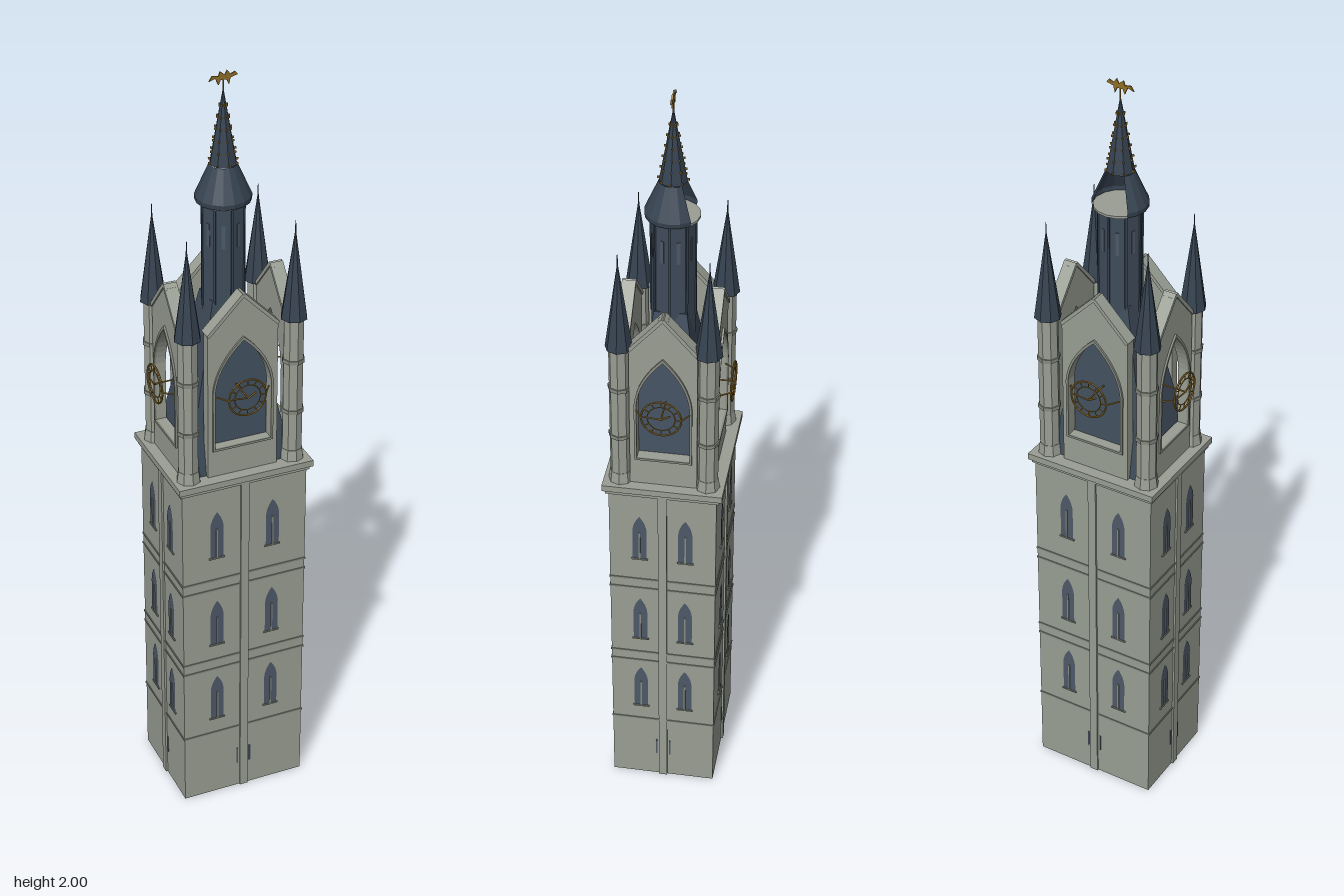
import * as THREE from 'three';

const mat = (name, color, double) => {
  const m = new THREE.MeshStandardMaterial({ color, flatShading: true });
  m.name = name;
  if (double) m.side = THREE.DoubleSide;
  return m;
};
const stone = mat('stone', 0x999e93);
const trim = mat('trim stone', 0x868b80);
const slate = mat('slate', 0x3f4c5b, true);
const roofSlate = mat('roof slate', 0x364351, true);
const glass = mat('window glass', 0x4d5867, true);
const gold = mat('gold', 0x8f6d26, true);

function add(parent, name, geo, material, x = 0, y = 0, z = 0) {
  const m = new THREE.Mesh(geo, material);
  m.name = name;
  m.position.set(x, y, z);
  parent.add(m);
  return m;
}
const box = (w, h, d) => new THREE.BoxGeometry(w, h, d);
const cyl = (rt, rb, h, n = 8) => new THREE.CylinderGeometry(rt, rb, h, n);

// straight rod between two points
function rod(parent, name, a, b, r, material) {
  const p = new THREE.Vector3(...a), q = new THREE.Vector3(...b);
  const m = add(parent, name, cyl(r, r, p.distanceTo(q), 6), material);
  m.position.copy(p).add(q).multiplyScalar(0.5);
  m.quaternion.setFromUnitVectors(new THREE.Vector3(0, 1, 0), q.sub(p).normalize());
}

// pointed arch outline: half width, sill, spring line, tip
function lancet(path, w, y0, ys, y1) {
  const yc = ys + (y1 - ys) * 0.55;
  path.moveTo(-w, y0);
  path.lineTo(w, y0);
  path.lineTo(w, ys);
  path.quadraticCurveTo(w * 0.9, yc, 0, y1);
  path.quadraticCurveTo(-w * 0.9, yc, -w, ys);
  path.lineTo(-w, y0);
  return path;
}

// one face of the shaft: pilaster and two columns of lancet windows
function shaftFace(side, depth, offset) {
  add(side, 'pilaster', box(0.022, 0.975, 0.01), stone, 0, 0.4875, depth);
  for (const y of [0.25, 0.49, 0.76]) for (const s of [-1, 1]) {
    const win = new THREE.Group();
    win.name = 'lancetWindow';
    win.position.set(s * offset, y, depth);
    side.add(win);
    add(win, 'windowGlass', new THREE.ShapeGeometry(lancet(new THREE.Shape(), 0.018, 0, 0.09, 0.135), 6), glass, 0, 0, 0.002);
    add(win, 'mullion', box(0.004, 0.085, 0.005), trim, 0, 0.0425, 0.002);
    add(win, 'windowSill', box(0.042, 0.004, 0.006), trim, 0, -0.002, 0.001);
  }
  for (const s of [-1, 1])
    add(side, 'slit', box(0.004, 0.05, 0.004), glass, s * 0.018, 0.1, depth);
}

// gabled wall with an open pointed arch and a skeleton clock
function belfryFace(side, depth, w, archW) {
  const t = 0.026;
  const wall = new THREE.Shape();
  wall.moveTo(-w, 0.99);
  wall.lineTo(w, 0.99);
  wall.lineTo(w, 1.385);
  wall.lineTo(0.012, 1.475);
  wall.lineTo(-0.012, 1.475);
  wall.lineTo(-w, 1.385);
  wall.closePath();
  wall.holes.push(lancet(new THREE.Path(), archW, 1.07, 1.23, 1.36));
  add(side, 'gableWall', new THREE.ExtrudeGeometry(wall, { depth: t, bevelEnabled: false, curveSegments: 8 }), stone, 0, 0, depth - t);

  const frame = lancet(new THREE.Shape(), archW + 0.006, 1.064, 1.23, 1.37);
  frame.holes.push(lancet(new THREE.Path(), archW, 1.07, 1.23, 1.36));
  add(side, 'archMoulding', new THREE.ExtrudeGeometry(frame, { depth: 0.005, bevelEnabled: false, curveSegments: 8 }), trim, 0, 0, depth);

  // coping along the gable
  for (const s of [-1, 1]) {
    const len = Math.hypot(w, 0.095), c = add(side, 'gableCoping', box(len, 0.009, t + 0.008), stone, s * w / 2, 1.434, depth - t / 2);
    c.rotation.z = -s * Math.atan2(0.095, w);
  }

  const clock = new THREE.Group();
  clock.name = 'clock';
  clock.position.set(0, 1.215, depth + 0.029);
  side.add(clock);
  add(clock, 'clockRing', new THREE.TorusGeometry(0.049, 0.0025, 6, 28), gold);
  add(clock, 'innerRing', new THREE.TorusGeometry(0.034, 0.0015, 6, 24), gold);
  for (let i = 0; i < 12; i++) {
    const a = i * Math.PI / 6, c = Math.cos(a), s = Math.sin(a);
    rod(clock, 'hourMark', [c * 0.034, s * 0.034, 0], [c * 0.049, s * 0.049, 0], 0.0014, gold);
  }
  rod(clock, 'hourHand', [0, 0, 0.003], [0.022, 0.012, 0.003], 0.0025, gold);
  rod(clock, 'minuteHand', [0, 0, 0.003], [-0.04, 0.004, 0.003], 0.002, gold);
  rod(clock, 'axle', [0, 0, 0.004], [0, 0, -0.07], 0.0022, gold);
  for (const s of [-1, 1])
    rod(clock, 'clockBracket', [s * 0.049, 0, 0], [s * 0.069, 0, -0.03], 0.002, gold);
}

function cornerTurret(parent, x, z) {
  const t = new THREE.Group();
  t.name = 'cornerTurret';
  t.position.set(x, 0, z);
  parent.add(t);
  add(t, 'turretShaft', cyl(0.026, 0.026, 0.4), stone, 0, 1.19, 0);
  add(t, 'turretBase', cyl(0.027, 0.031, 0.03), stone, 0, 1.005, 0);
  for (const y of [1.13, 1.27]) add(t, 'turretBand', cyl(0.029, 0.029, 0.01), trim, 0, y, 0);
  add(t, 'turretRoof', cyl(0.002, 0.034, 0.225), roofSlate, 0, 1.4975, 0);
  add(t, 'turretFinial', cyl(0.001, 0.002, 0.035, 6), roofSlate, 0, 1.625, 0);
}

export function createModel() {
  const model = new THREE.Group();
  model.name = 'clockTower';
  const tower = new THREE.Group();
  tower.name = 'tower';
  tower.rotation.y = -0.633;
  model.add(tower);

  // shaft, string courses and cornice
  add(tower, 'shaft', box(0.27, 0.98, 0.336), stone, 0, 0.49, 0);
  for (const y of [0.2, 0.41, 0.44, 0.66, 0.69])
    add(tower, 'stringCourse', box(0.274, 0.005, 0.34), trim, 0, y, 0);
  add(tower, 'corniceMoulding', box(0.284, 0.012, 0.348), stone, 0, 0.968, 0);
  add(tower, 'cornice', box(0.3, 0.017, 0.36), stone, 0, 0.982, 0);

  for (let k = 0; k < 4; k++) {
    const side = new THREE.Group(), wide = k % 2 === 1;
    side.name = 'towerSide';
    side.rotation.y = k * Math.PI / 2;
    tower.add(side);
    shaftFace(side, wide ? 0.135 : 0.168, wide ? 0.076 : 0.058);
    belfryFace(side, wide ? 0.12 : 0.152, wide ? 0.092 : 0.083, wide ? 0.074 : 0.065);
  }
  for (const sx of [-1, 1]) for (const sz of [-1, 1]) cornerTurret(tower, sx * 0.108, sz * 0.139);

  // steep hipped roof inside the belfry walls
  const roof = box(0.22, 0.44, 0.28), p = roof.attributes.position;
  for (let i = 0; i < p.count; i++)
    if (p.getY(i) > 0) p.setXYZ(i, Math.sign(p.getX(i)) * 0.04, 0.22, Math.sign(p.getZ(i)) * 0.045);
  roof.computeVertexNormals();
  add(tower, 'hippedRoof', roof, slate, 0, 1.21, 0);

  // octagonal lantern with narrow lights
  add(tower, 'lantern', cyl(0.054, 0.054, 0.33), slate, 0, 1.515, 0);
  for (let i = 0; i < 8; i++) {
    const g = new THREE.Group();
    g.name = 'lanternFace';
    g.rotation.y = (i + 0.5) * Math.PI / 4;
    tower.add(g);
    add(g, 'lanternLight', box(0.009, 0.06, 0.004), glass, 0, 1.6, 0.0495);
    const h = new THREE.Group();
    h.name = 'lanternCorner';
    h.rotation.y = i * Math.PI / 4;
    tower.add(h);
    add(h, 'lanternRib', box(0.006, 0.27, 0.006), roofSlate, 0, 1.54, 0.053);
    // crockets up the spire edges
    for (let j = 0; j < 6; j++) {
      const f = j / 6, r = 0.032 * (1 - f);
      add(h, 'crocket', box(0.003, 0.005, 0.006), gold, 0, 1.775 + f * 0.17, r + 0.003);
    }
  }
  add(tower, 'lanternCeiling', cyl(0.065, 0.065, 0.006, 16), stone, 0, 1.679, 0);

  // flared skirt, open on one quarter, and the spire above
  const start = Math.PI * 1.75, sweep = Math.PI * 1.5;
  add(tower, 'spireEave', new THREE.CylinderGeometry(0.069, 0.068, 0.012, 12, 1, true, start, sweep), roofSlate, 0, 1.685, 0);
  add(tower, 'spireSkirt', new THREE.CylinderGeometry(0.034, 0.069, 0.079, 12, 1, true, start, sweep), roofSlate, 0, 1.7305, 0);
  add(tower, 'spire', cyl(0.002, 0.034, 0.18), roofSlate, 0, 1.86, 0);

  // weather vane: a winged beast cut from a flat plate
  rod(tower, 'vaneRod', [0, 1.94, 0], [0, 1.985, 0], 0.002, gold);
  const beast = new THREE.Shape([
    [-0.036, 1.978], [-0.02, 1.984], [-0.012, 1.966], [-0.007, 1.978], [0.008, 1.978], [0.014, 1.965],
    [0.018, 1.981], [0.036, 1.986], [0.03, 1.994], [0.018, 1.989], [0.01, 2.0], [0.004, 1.989],
    [-0.008, 1.999], [-0.012, 1.988], [-0.028, 1.99],
  ].map(([x, y]) => new THREE.Vector2(x, y)));
  const vane = add(tower, 'weatherVane', new THREE.ExtrudeGeometry(beast, { depth: 0.004, bevelEnabled: false }), gold, -0.002, 0, 0);
  vane.rotation.y = Math.PI / 2;
  return model;
}
